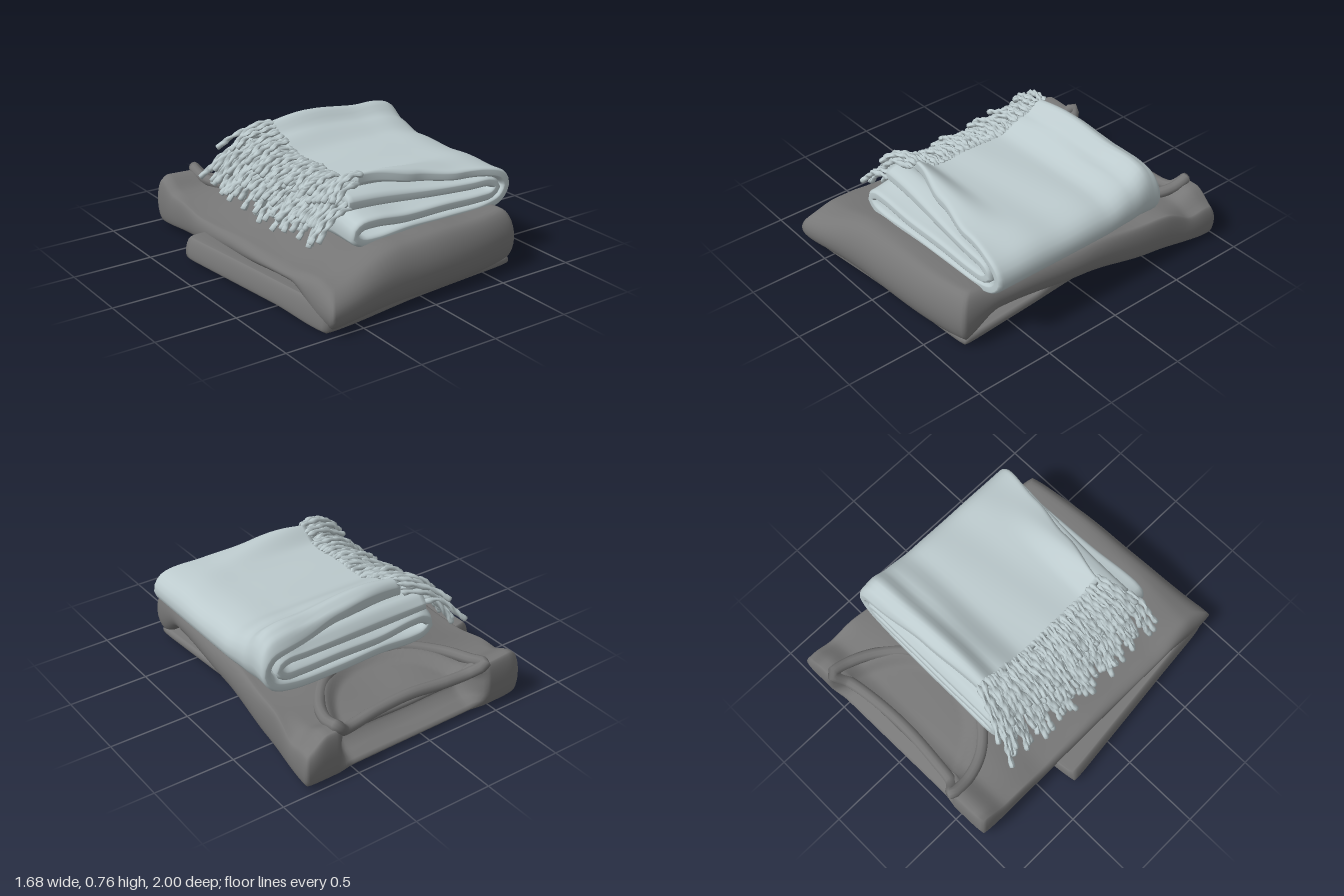
import * as THREE from 'three';
import { mergeVertices, mergeGeometries } from 'three/addons/utils/BufferGeometryUtils.js';

const sweaterMat = new THREE.MeshStandardMaterial({ color: 0x777777 });
const scarfMat = new THREE.MeshStandardMaterial({ color: 0xbccacd });

const { lerp, smoothstep, clamp } = THREE.MathUtils;

// Smooth interpolation through [position, value] knots
function knots(table) {
  return (x) => {
    if (x <= table[0][0]) return table[0][1];
    for (let i = 1; i < table.length; i++) {
      const [x0, y0] = table[i - 1], [x1, y1] = table[i];
      if (x <= x1) return lerp(y0, y1, smoothstep(x, x0, x1));
    }
    return table[table.length - 1][1];
  };
}

// Small seeded generator returning -1..1
let seed = 7;
function rnd() {
  seed = (seed * 16807) % 2147483647;
  return (seed / 2147483647) * 2 - 1;
}

// Subdivided box whose (s, w, t) coordinates in -1..1 are mapped by a rule
function shaped(ns, nw, nt, rule) {
  let geo = new THREE.BoxGeometry(2, 2, 2, ns, nw, nt);
  geo.deleteAttribute('uv');
  geo.deleteAttribute('normal');
  geo = mergeVertices(geo);
  const p = geo.attributes.position;
  for (let i = 0; i < p.count; i++) {
    p.setXYZ(i, ...rule(p.getX(i), p.getY(i), p.getZ(i)));
  }
  geo.computeVertexNormals();
  return geo;
}

// Soft slab of cloth: corners are [x, z] at back -x, back +x, front +x, front -x.
// rim gives the edge rounding along t; warp(p, s, w, t) shifts the finished point.
function clothSlab([a, b, c, d], rim, bottom, top, ns, nt, warp) {
  return shaped(ns, 14, nt, (s, w0, t) => {
    const w = Math.sin((w0 * Math.PI) / 2);
    const bulge = 1 - Math.sqrt(Math.max(0, 1 - w * w));
    const inset = 1 - rim(t) * bulge;
    const u = (s * inset * (1 - 0.01 * t ** 20) + 1) / 2;
    const v = (t * inset * (1 - 0.01 * s ** 20) + 1) / 2;
    const x = lerp(lerp(a[0], b[0], u), lerp(d[0], c[0], u), v);
    const z = lerp(lerp(a[1], b[1], u), lerp(d[1], c[1], u), v);
    const p = [x, lerp(bottom(x, z), top(x, z), (w + 1) / 2), z];
    warp(p, s, w, t);
    return p;
  });
}

// ---- sweater ----
const neck = knots([[-0.46, 0], [-0.34, 1], [0.5, 1], [0.62, 0]]);
const bodyProfile = knots([[-0.97, 0.345], [-0.91, 0.35], [-0.76, 0.29], [-0.5, 0.31],
  [0, 0.335], [0.5, 0.345], [0.8, 0.375], [1, 0.33]]);
const bodyUnder = knots([[-0.97, 0.03], [-0.5, 0.07], [0, 0.125], [0.6, 0.175], [0.88, 0.02]]);

function bodyTop(x, z) {
  const slope = 0.1 * (1 - smoothstep(x, -0.7, -0.15)) * smoothstep(z, -0.85, -0.4);
  const hole = 1 - smoothstep(Math.hypot((x - 0.09) / 0.48, (z + 0.95) / 0.53), 0.85, 1);
  const wrinkle = 0.006 * Math.sin(x * 9 + z * 5) * Math.sin(z * 7 - x * 3);
  const shoulderDrop = smoothstep(-z, 0.6, 0.9)
    * (0.02 + 0.1 * smoothstep(x, 0.68, 0.84) + 0.05 * smoothstep(-x, 0.63, 0.72));
  return bodyProfile(z) - slope - 0.05 * hole - shoulderDrop + wrinkle
    - 0.03 * neck(x) * smoothstep(-z, 0.72, 0.92);
}

// Neck opening at the back and wavering edges
function bodyWarp(p, s, w, t) {
  const x = p[0];
  const slit = 1 - smoothstep(Math.abs(w), 0.25, 0.75);
  const back = smoothstep(-t, 0.88, 1) * neck(x);
  p[2] += back * (0.015 + 0.065 * smoothstep(w, -0.4, 0.6) + 0.12 * slit);
  p[0] -= smoothstep(s, 0.9, 1) * 0.02 * Math.sin((t + 1) * Math.PI / 2);
  p[2] += 0.012 * smoothstep(t, 0.9, 1) * Math.sin(x * 5);
}

function addSweater(group) {
  const add = (name, geo) => {
    const mesh = new THREE.Mesh(geo, sweaterMat);
    mesh.name = name;
    group.add(mesh);
  };
  add('sweaterBody', clothSlab([[-0.705, -0.965], [0.845, -0.99], [0.705, 0.875], [-0.72, 1.02]],
    (t) => lerp(0.03, 0.1, smoothstep(t, -0.8, 0.6)),
    (x, z) => bodyUnder(z), bodyTop, 70, 80, bodyWarp));
  // folded-under half, skewed so its corner shows past the body, thin along its right side
  add('sweaterUnderFold', clothSlab([[-0.85, -0.34], [0.6, -0.49], [0.685, 0.85], [-0.71, 0.96]],
    () => 0.025,
    (x, z) => 0.028 - 0.02 * smoothstep(z, 0.5, 0.85) * (1 - smoothstep(x, -0.6, 0)),
    (x, z) => 0.155 + 0.008 * Math.sin(x * 14) - 0.075 * smoothstep(x, 0.4, 0.55) * smoothstep(z, 0, 0.3),
    40, 36, (p, s, w) => { p[0] += 0.012 * smoothstep(-s, 0.94, 1) * w; }));

  // collar band: across the front of the neck, then back along its lower rear edge
  const front = [[-0.43, -0.95], [-0.43, -0.82], [-0.36, -0.64], [-0.18, -0.48], [0.1, -0.42],
    [0.36, -0.49], [0.52, -0.65], [0.6, -0.83], [0.605, -0.95]];
  const rear = [[0.53, -0.9], [0.3, -0.865], [0.05, -0.855], [-0.2, -0.87], [-0.37, -0.895]];
  const path = new THREE.CatmullRomCurve3([
    ...front.map(([x, z]) => new THREE.Vector3(x, bodyProfile(z) - 0.012, z)),
    ...rear.map(([x, z]) => new THREE.Vector3(x, 0.26 + 0.01 * Math.sin(x * 11), z)),
  ], true);
  add('collar', new THREE.TubeGeometry(path, 120, 0.035, 10, true));
}

// ---- scarf ----
const BASE = 0.335;
const backLift = knots([[-0.53, 1.22], [-0.48, 1.42], [-0.42, 1.52], [-0.3, 1.24], [-0.1, 1.02],
  [0.1, 1], [0.72, 1]]);
const frontLift = knots([[0.38, 0], [0.54, 0.32], [0.72, 0.1]]);

// Height of a scarf point after the stack swells toward its ends
function liftY(x, y, z) {
  const k = backLift(z) + frontLift(z) * (1 - smoothstep(x, -0.2, 0.65));
  const ripple = 0.006 * Math.sin(z * 16 + x * 2) * smoothstep(y, 0.45, 0.6);
  const sag = 0.02 * smoothstep(y, 0.5, 0.6) * Math.sin(x * 7 - 2) * smoothstep(-z, 0.2, 0.4);
  return BASE + (y - BASE) * k + ripple - sag;
}

// Spiral fold seen from the front, from the free top edge to the inner end
const foldPath = new THREE.CatmullRomCurve3([
  [-0.19, 0.572], [0.1, 0.576], [0.4, 0.576], [0.63, 0.568], [0.74, 0.53], [0.775, 0.465], [0.73, 0.395],
  [0.6, 0.362], [0.3, 0.36], [0, 0.37], [-0.22, 0.358], [-0.32, 0.368], [-0.365, 0.405], [-0.32, 0.446],
  [-0.22, 0.452], [0, 0.43], [0.3, 0.43], [0.55, 0.425], [0.66, 0.432], [0.7, 0.47], [0.65, 0.505],
  [0.5, 0.508], [0.1, 0.508], [-0.33, 0.515],
].map(([x, y]) => new THREE.Vector3(x, y, 0)), false, 'centripetal');
foldPath.arcLengthDivisions = 600;

const frontEdge = knots([[0, 0.52], [0.08, 0.6], [0.15, 0.655], [0.22, 0.695], [0.3, 0.71], [0.45, 0.74],
  [0.7, 0.71], [1, 0.63]]);
const backEdge = knots([[0, -0.46], [0.1, -0.49], [0.2, -0.525], [0.4, -0.54], [1, -0.53]]);

function addScarf(group) {
  const geo = shaped(150, 2, 44, (s, w, t0) => {
    const u = (s + 1) / 2;
    const t = Math.sin((t0 * Math.PI) / 2);
    const p = foldPath.getPointAt(u), d = foldPath.getTangentAt(u);
    // hems thin out toward the edges
    const hem = 0.45 + 0.55 * Math.sqrt(clamp((1 - Math.abs(t)) / 0.03, 0, 1));
    const off = 0.031 * w * hem;
    const z = lerp(backEdge(u), frontEdge(u), (t + 1) / 2);
    const x = p.x - d.y * off;
    return [x, liftY(x, p.y + d.x * off, z), z];
  });
  const cloth = new THREE.Mesh(geo, scarfMat);
  cloth.name = 'foldedScarf';
  group.add(cloth);
}

// One twisted tassel: an oval tube whose section turns along its length
function tassel(points) {
  const path = new THREE.CatmullRomCurve3(points);
  const rings = 22, sides = 7;
  const geo = new THREE.TubeGeometry(path, rings, 0.014, sides, false);
  const p = geo.attributes.position, v = new THREE.Vector3();
  const turn = rnd() * 3;
  for (let i = 0; i < p.count; i++) {
    const ring = Math.floor(i / (sides + 1)), u = ring / rings;
    const angle = ((i % (sides + 1)) / sides) * Math.PI * 2;
    const centre = path.getPointAt(u);
    let k = 1 + 0.4 * Math.cos(2 * angle + u * 24 + turn);
    if (u > 0.84) k = 1.25; // end knot
    if (ring === 0) k = 0;
    v.fromBufferAttribute(p, i).sub(centre).multiplyScalar(k).add(centre);
    if (ring === rings) v.copy(path.getPointAt(1 - 0.8 / rings)); // blunt cap
    p.setXYZ(i, v.x, v.y, v.z);
  }
  geo.computeVertexNormals();
  return geo;
}

// Row of tassels: route is [x, y] steps outward from the hem
function addFringe(group, name, route, z0, z1, count) {
  const strands = [];
  for (let i = 0; i < count; i++) {
    const f = i / (count - 1), z = lerp(z0, z1, f);
    const splay = (f < 0.5 ? 0.12 : 0.06) * Math.pow(2 * f - 1, 5) + 0.025 * rnd();
    const stretch = 0.04 * rnd(), bob = 0.035 * rnd();
    strands.push(tassel(route.map(([x, y], j) => {
      const g = j / (route.length - 1);
      const zj = z + splay * g + 0.012 * rnd();
      return new THREE.Vector3(x - stretch * g, liftY(x, y, z) + bob * g + 0.012 * rnd(), zj);
    })));
  }
  const mesh = new THREE.Mesh(mergeGeometries(strands), scarfMat);
  mesh.name = name;
  group.add(mesh);
}

export function createModel() {
  const model = new THREE.Group();
  const sweater = new THREE.Group();
  sweater.name = 'foldedSweater';
  const scarf = new THREE.Group();
  scarf.name = 'fringedScarf';
  addSweater(sweater);
  addScarf(scarf);
  addFringe(scarf, 'upperFringe', [[-0.16, 0.6], [-0.26, 0.6], [-0.36, 0.56], [-0.44, 0.5]], -0.45, 0.52, 40);
  addFringe(scarf, 'middleFringe', [[-0.2, 0.56], [-0.33, 0.55], [-0.44, 0.49], [-0.52, 0.42]], -0.46, 0.55, 40);
  addFringe(scarf, 'lowerFringe', [[-0.31, 0.51], [-0.43, 0.49], [-0.52, 0.42], [-0.575, 0.365]], -0.5, 0.62, 42);
  model.add(sweater, scarf);
  return model;
}
